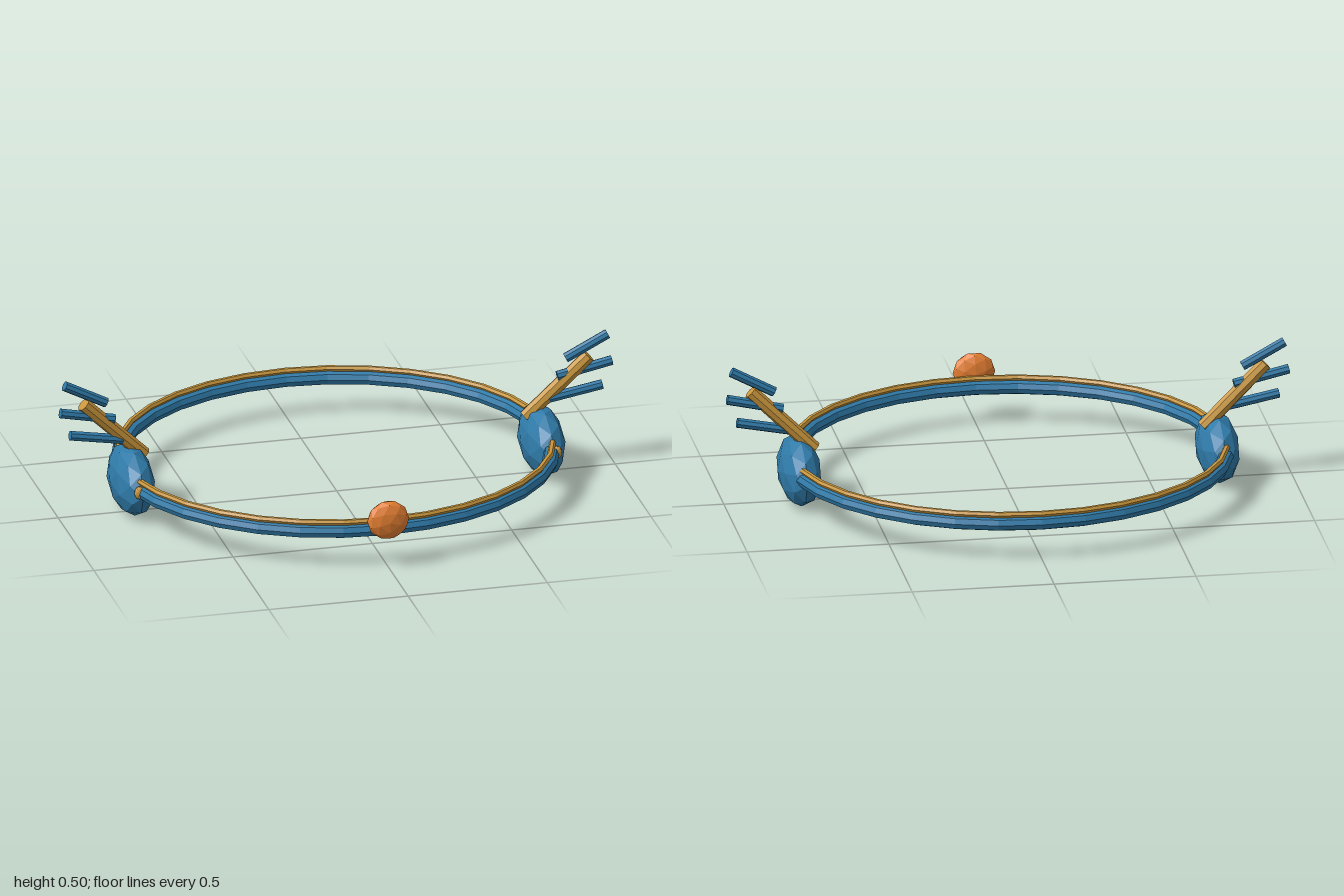
import * as THREE from 'three';

const mat = (color) => new THREE.MeshStandardMaterial({ color, flatShading: true });

export function createModel() {
  const blue = mat(0x2f7aa8), gold = mat(0xc9963c), orange = mat(0xe57f32);
  const model = new THREE.Group();
  model.name = 'circlet';

  const add = (parent, name, geometry, material) => {
    const mesh = new THREE.Mesh(geometry, material);
    mesh.name = name;
    parent.add(mesh);
    return mesh;
  };

  // Horizontal band, slightly wider than deep
  const band = (name, y, radius, tube, sides, material) => {
    const g = new THREE.TorusGeometry(radius, tube, sides, 32);
    g.rotateX(Math.PI / 2).scale(1.075, 1, 1);
    add(model, name, g, material).position.set(0, y, -0.02);
  };

  // Faceted ellipsoid with a pole along x or z
  const pebble = (parent, name, center, radii, material, poleZ = false) => {
    const g = new THREE.IcosahedronGeometry(1, 1);
    g.rotateY(Math.atan(2 / (1 + Math.sqrt(5)))).rotateX(Math.PI / 2);
    if (poleZ) g.rotateY(Math.PI / 2);
    g.scale(...radii);
    add(parent, name, g, material).position.set(...center);
  };

  // Straight rod between two points
  const rod = (parent, name, from, to, r0, r1, material) => {
    const a = new THREE.Vector3(...from), b = new THREE.Vector3(...to);
    const dir = b.clone().sub(a);
    const mesh = add(parent, name, new THREE.CylinderGeometry(r1, r0, dir.length(), 8), material);
    mesh.position.copy(a).add(b).multiplyScalar(0.5);
    mesh.quaternion.setFromUnitVectors(new THREE.Vector3(0, 1, 0), dir.normalize());
  };

  band('band', 0.137, 0.705, 0.026, 8, blue);
  band('bandTrim', 0.17, 0.708, 0.011, 6, gold);

  // Front gem
  pebble(model, 'frontGem', [0, 0.183, 0.721], [0.075, 0.072, 0.035], orange, true);

  // Side guards, each with a branching antler
  for (const [side, s] of [['left', 1], ['right', -1]]) {
    const group = new THREE.Group();
    group.name = side + 'Side';
    model.add(group);
    pebble(group, side + 'Guard', [s * 0.737, 0.123, -0.01], [0.075, 0.122, 0.18], blue);
    pebble(group, side + 'Stud', [s * 0.75, 0.14, 0.163], [0.018, 0.024, 0.014], gold);
    rod(group, side + 'AntlerStem', [s * 0.685, 0.205, -0.028], [s * 0.907, 0.42, -0.008], 0.025, 0.025, gold);
    const twigs = [
      [[0.765, 0.273], [0.955, 0.308]],
      [[0.795, 0.353], [0.99, 0.395]],
      [[0.825, 0.417], [0.975, 0.496]],
    ];
    twigs.forEach(([a, b], i) =>
      rod(group, side + 'Twig' + (i + 1), [s * a[0], a[1], -0.014], [s * b[0], b[1], -0.008], 0.018, 0.018, blue));
  }
  return model;
}
